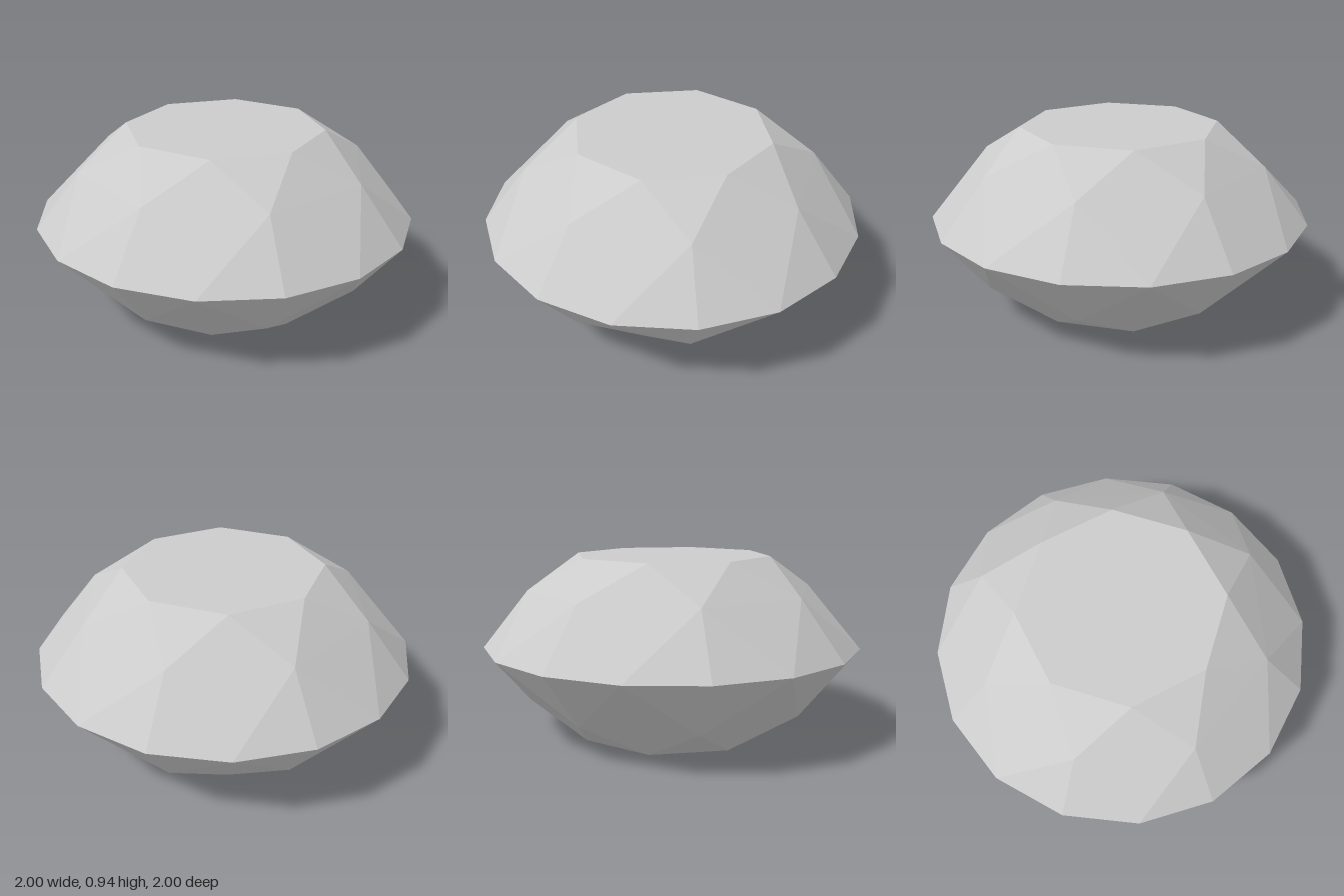
import * as THREE from 'three';

const GIRDLE_Y = 0.472;
const HALF_HEIGHT = 0.472;
const STEP = Math.PI / 8; // sixteen girdle corners

// Point on a ring; i counts sixteenths of a turn, h is the height above the girdle
const ringPoint = (radius, h, i) =>
  [radius * Math.sin(i * STEP), GIRDLE_Y + h, radius * Math.cos(i * STEP)];

// One faceted half of the stone: side = 1 for the crown, -1 for the pavilion
function facetedHalf(side) {
  const flatH = side * HALF_HEIGHT;
  const midH = side * 0.295;
  const flat = (i) => ringPoint(0.524, flatH, i);
  const mid = (i) => ringPoint(0.765, midH, i);
  const girdle = (i) => ringPoint(1, 0, i);
  const centre = [0, GIRDLE_Y + flatH, 0];

  const positions = [];
  const tri = (a, b, c) => positions.push(...a, ...(side > 0 ? b : c), ...(side > 0 ? c : b));

  for (let i = 0; i < 16; i += 2) {
    tri(centre, flat(i), flat(i + 2)); // octagonal flat
    tri(flat(i), mid(i + 1), flat(i + 2)); // star facet
    tri(flat(i), mid(i - 1), mid(i + 1)); // kite facet, inner part
    tri(mid(i - 1), girdle(i), mid(i + 1)); // kite facet, outer part
    tri(mid(i + 1), girdle(i), girdle(i + 1)); // pair of girdle facets
    tri(mid(i + 1), girdle(i + 1), girdle(i + 2));
  }

  const geometry = new THREE.BufferGeometry();
  geometry.setAttribute('position', new THREE.Float32BufferAttribute(positions, 3));
  geometry.computeVertexNormals();
  return geometry;
}

export function createModel() {
  const gem = new THREE.Group();
  gem.name = 'gem';
  const material = new THREE.MeshStandardMaterial({ color: 0xcccccc, flatShading: true });

  for (const [name, side] of [['crown', 1], ['pavilion', -1]]) {
    const half = new THREE.Mesh(facetedHalf(side), material);
    half.name = name;
    gem.add(half);
  }
  return gem;
}
